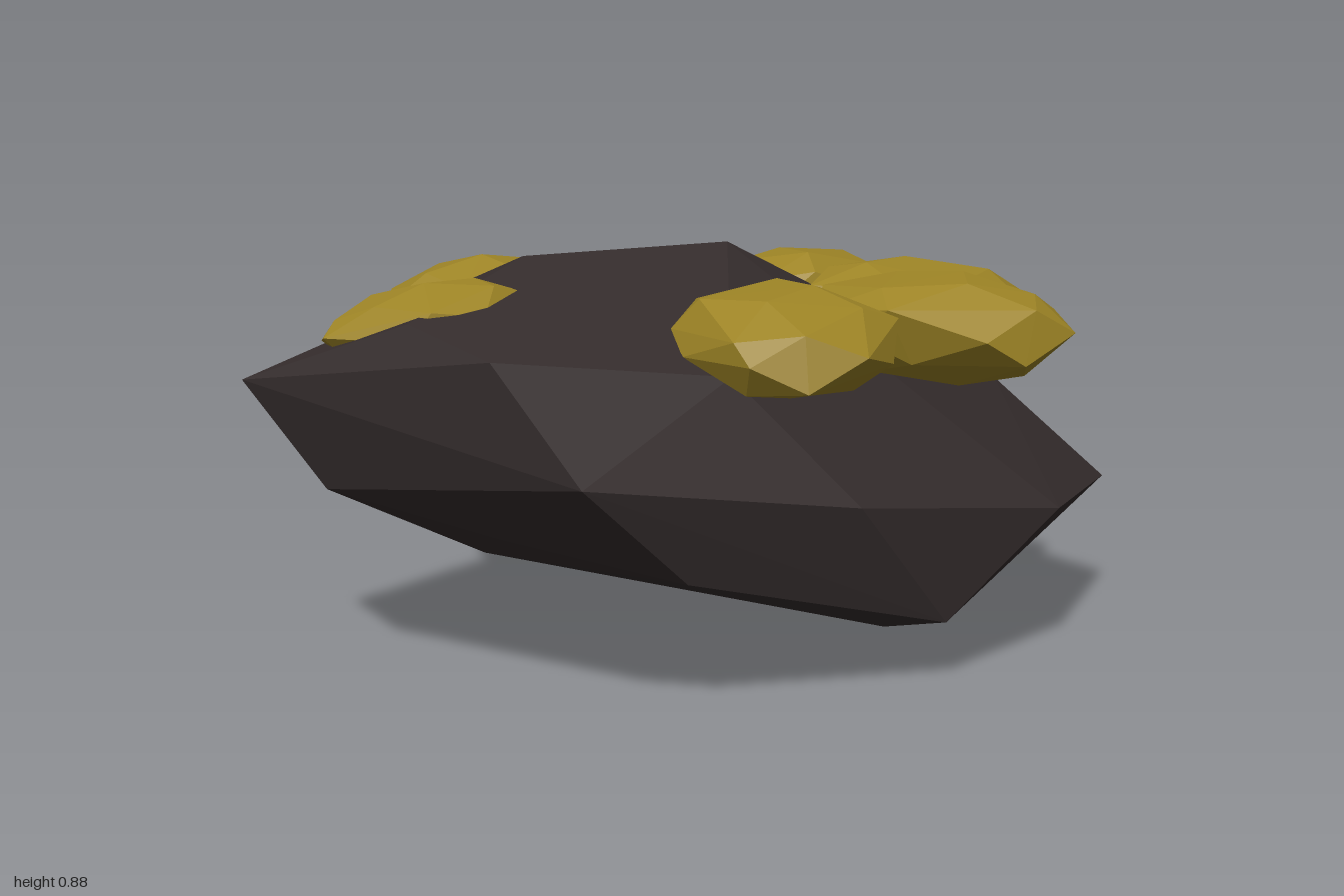
import * as THREE from 'three';
import { ConvexGeometry } from 'three/addons/geometries/ConvexGeometry.js';

// Small seeded generator, 0 to 1
function seeded(seed) {
  let s = seed * 7919 + 17;
  return () => {
    s = (s * 16807) % 2147483647;
    return s / 2147483647;
  };
}

// Faceted unit nugget: the hull of points spiralled over a sphere with uneven radii
function nuggetGeometry(seed, count = 28) {
  const random = seeded(seed);
  const points = [];
  for (let i = 0; i < count; i++) {
    const y = 1 - (2 * (i + 0.5)) / count;
    const angle = i * 2.4 + seed + random() * 0.5;
    const r = Math.sqrt(1 - y * y);
    const p = new THREE.Vector3(r * Math.cos(angle), y, r * Math.sin(angle));
    points.push(p.multiplyScalar(0.96 + random() * 0.12));
  }
  return new ConvexGeometry(points);
}

export function createModel() {
  const group = new THREE.Group();
  const stone = new THREE.MeshStandardMaterial({ color: 0x342c2c });
  stone.name = 'dark stone';
  const gold = new THREE.MeshStandardMaterial({ color: 0x9c8325 });
  gold.name = 'dull gold';

  const addPart = (name, geometry, material) => {
    const mesh = new THREE.Mesh(geometry, material);
    mesh.name = name;
    group.add(mesh);
    return mesh;
  };

  // Boulder: corners of its convex hull
  const corners = [
    [-1, 0.61, 0.04], [-0.68, 0.745, 0.3], [-0.39, 0.85, -0.04], [0.05, 0.88, 0.05],
    [-0.56, 0.7, 0.58], [-0.08, 0.65, 0.54], [-0.42, 0.48, 0.74], [0.15, 0.4, 0.66],
    [0.67, 0.33, 0.46], [1, 0.3, 0.02], [0.8, 0.52, -0.18], [0.86, 0.335, -0.44],
    [0.34, 0.62, -0.58], [-0.2, 0.515, -0.74], [0.05, 0.235, -0.66],
    [0.37, 0.13, 0.57], [0.4, 0, 0.14], [0.8, 0.1, -0.2], [0.45, 0.08, -0.29],
    [-0.2, 0.27, 0.66], [-0.52, 0.32, 0.4], [-0.5, 0.21, 0.05], [-0.84, 0.39, 0.15],
    [-0.42, 0.24, -0.43], [-0.76, 0.34, -0.11], [-0.66, 0.56, -0.28],
  ];
  addPart('boulder', new ConvexGeometry(corners.map((c) => new THREE.Vector3(...c))), stone);

  // Gold nuggets set in the top: centre, half sizes, yaw, and tilts about x and z
  const nuggets = [
    ['backRightNugget', [-0.45, 0.715, -0.31], [0.24, 0.115, 0.22], -0.4, -0.1, 0.08],
    ['backNugget', [-0.18, 0.71, -0.44], [0.25, 0.115, 0.22], -1, -0.17, 0],
    ['backLeftNugget', [0.35, 0.72, -0.33], [0.23, 0.12, 0.26], -0.3, -0.08, -0.06],
    ['leftNugget', [0.54, 0.71, 0], [0.29, 0.115, 0.2], 0.05, 0, -0.12],
    ['frontLeftNugget', [0.47, 0.705, 0.26], [0.3, 0.12, 0.2], -0.48, 0.04, -0.08],
    ['frontNugget', [0.05, 0.715, 0.48], [0.225, 0.11, 0.26], 0.1, 0.13, 0],
    ['rightNugget', [-0.63, 0.73, 0.1], [0.23, 0.08, 0.18], -0.45, 0, 0.2],
  ];
  nuggets.forEach(([name, centre, size, yaw, tiltX, tiltZ], i) => {
    const geometry = nuggetGeometry(i + 1);
    geometry.scale(...size).rotateY(yaw).rotateX(tiltX).rotateZ(tiltZ);
    addPart(name, geometry, gold).position.set(...centre);
  });
  return group;
}
